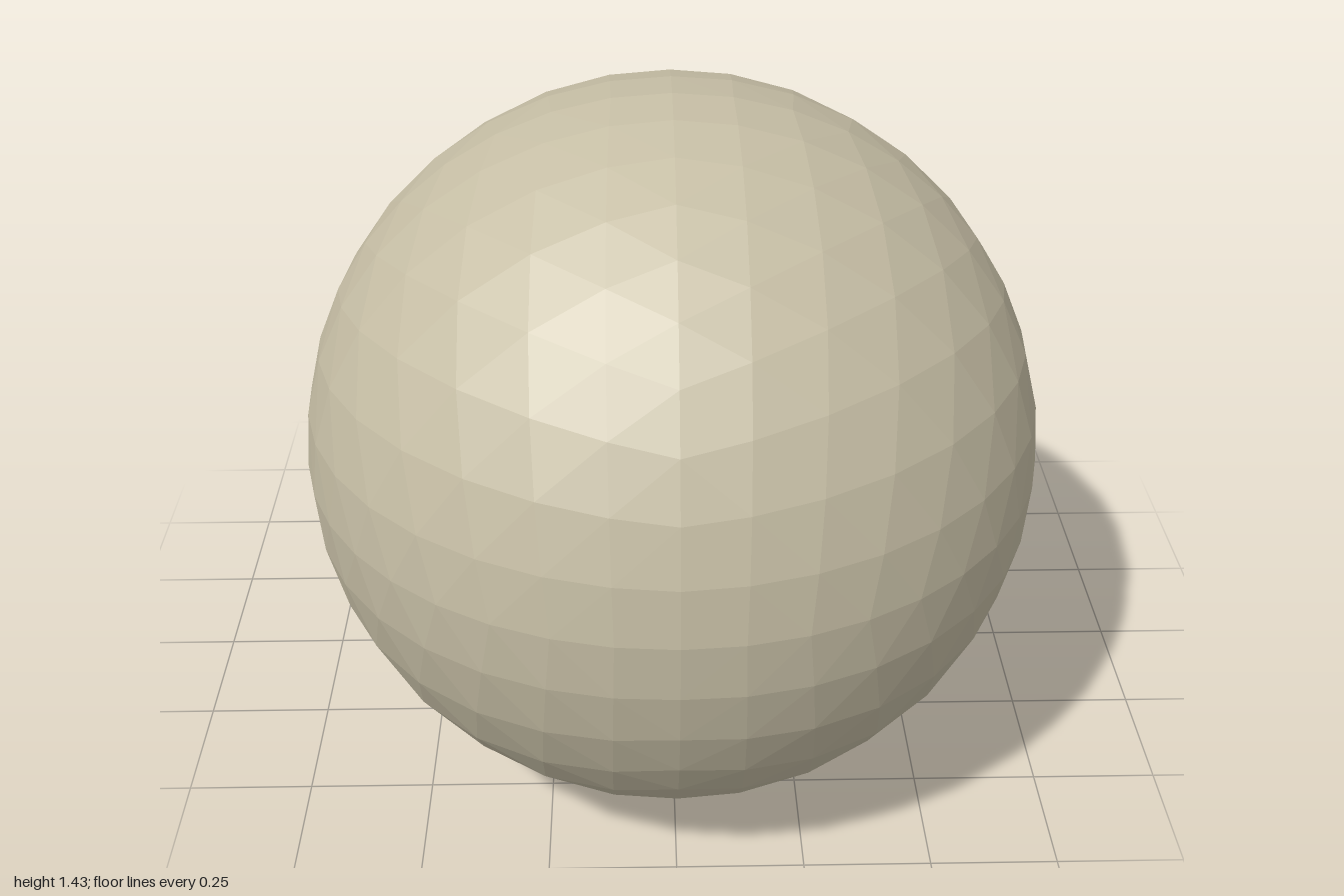
import * as THREE from 'three';

export function createModel() {
  const model = new THREE.Group();
  model.name = 'bulb';
  const beige = new THREE.MeshStandardMaterial({ color: 0xc6bea5, flatShading: true });
  beige.name = 'warm beige';

  const R = 0.716; // globe radius, also the height of the axis

  // Faceted globe: octahedral grid with evenly spaced angles
  const globeGeometry = new THREE.OctahedronGeometry(1, 9);
  const position = globeGeometry.attributes.position;
  const v = new THREE.Vector3();
  const even = (f) => Math.sin((f * Math.PI) / 2);
  for (let i = 0; i < position.count; i++) {
    v.fromBufferAttribute(position, i);
    v.divideScalar(Math.abs(v.x) + Math.abs(v.y) + Math.abs(v.z));
    v.set(even(v.x), even(v.y), even(v.z)).setLength(R);
    position.setXYZ(i, v.x, v.y, v.z);
  }
  globeGeometry.computeVertexNormals();
  const globe = new THREE.Mesh(globeGeometry, beige);
  globe.name = 'globe';
  globe.position.set(0, R, 1 - R);
  model.add(globe);

  // Round section along z, from a front radius to a back radius
  function addSection(name, frontRadius, backRadius, zFront, zBack) {
    const geometry = new THREE.CylinderGeometry(frontRadius, backRadius, zFront - zBack, 40);
    geometry.rotateX(Math.PI / 2);
    const mesh = new THREE.Mesh(geometry, beige);
    mesh.name = name;
    mesh.position.set(0, R, (zFront + zBack) / 2);
    model.add(mesh);
  }
  addSection('collar', 0.434, 0.3, -0.32, -0.62);
  addSection('stem', 0.201, 0.201, -0.6, -1);

  return model;
}
